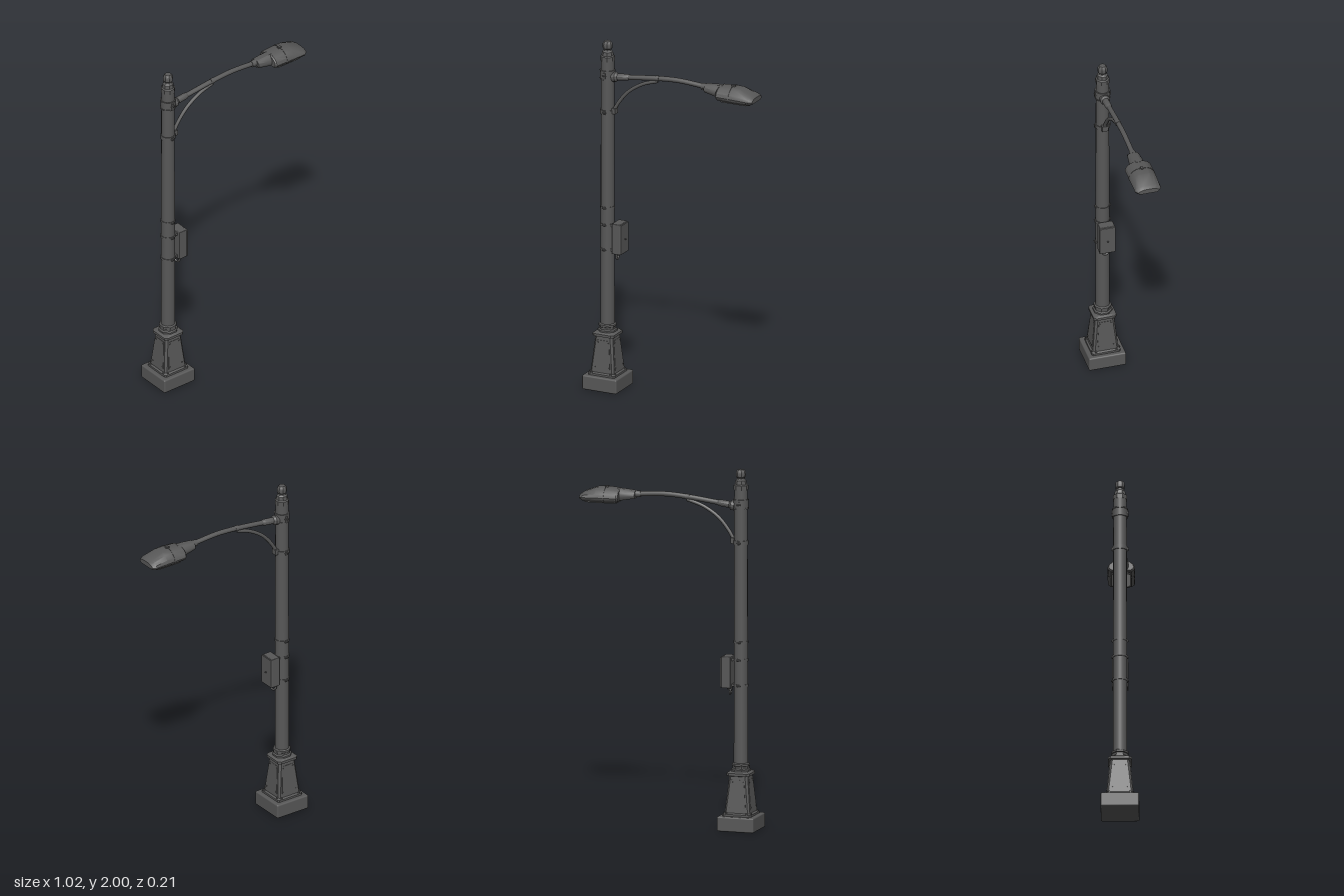
import * as THREE from 'three';
import { toCreasedNormals } from 'three/addons/utils/BufferGeometryUtils.js';
import { RoundedBoxGeometry } from 'three/addons/geometries/RoundedBoxGeometry.js';

const POLE_X = -0.405;
const V = (x, y, z = 0) => new THREE.Vector3(x, y, z);

// Closed solid through rings of points, each counter-clockwise about the direction of travel
function loft(rings, crease = 0.5) {
  const pos = [];
  const tri = (...pts) => pts.forEach(p => pos.push(p.x, p.y, p.z));
  const n = rings[0].length;
  for (let i = 0; i < rings.length - 1; i++) {
    for (let j = 0; j < n; j++) {
      const k = (j + 1) % n;
      tri(rings[i][j], rings[i][k], rings[i + 1][k]);
      tri(rings[i][j], rings[i + 1][k], rings[i + 1][j]);
    }
  }
  const middle = r => r.reduce((s, p) => s.add(p), V(0, 0)).divideScalar(n);
  const first = rings[0], last = rings[rings.length - 1];
  for (let j = 0; j < n; j++) {
    const k = (j + 1) % n;
    tri(middle(first), first[k], first[j]);
    tri(middle(last), last[j], last[k]);
  }
  const g = new THREE.BufferGeometry();
  g.setAttribute('position', new THREE.Float32BufferAttribute(pos, 3));
  return toCreasedNormals(g, crease);
}

// Horizontal square with cut corners
function cutSquare(y, h, cut) {
  const c = h - cut;
  return [[-c, h], [c, h], [h, c], [h, -c], [c, -h], [-c, -h], [-h, -c], [-h, c]]
    .map(([x, z]) => V(x, y, z));
}

// Domed lamp section across x: half width, bottom, rim and top heights
function lampSection(x, w, bottom, rim, top) {
  const t = top - rim;
  const half = [[top, 0.38], [rim + t * 0.8, 0.66], [rim + t * 0.4, 0.92], [rim, 1],
    [rim - (rim - bottom) * 0.45, 0.95], [bottom, 0.75]];
  return [...half.map(([y, z]) => V(x, y, z * w)),
    ...half.slice().reverse().map(([y, z]) => V(x, y, -z * w))];
}

export function createModel() {
  const model = new THREE.Group();
  model.name = 'streetLamp';
  const iron = new THREE.MeshStandardMaterial({ color: 0x585858 });
  iron.name = 'darkIron';
  const glass = new THREE.MeshStandardMaterial({ color: 0xbebebe });
  glass.name = 'lensGrey';

  const add = (name, geo, parent = model, x = 0, y = 0, z = 0, mat = iron) => {
    const m = new THREE.Mesh(geo, mat);
    m.name = name;
    m.position.set(x, y, z);
    parent.add(m);
    return m;
  };
  const group = (name, x = 0) => {
    const g = new THREE.Group();
    g.name = name;
    g.position.x = x;
    model.add(g);
    return g;
  };
  const tube = (pts, r, seg = 24, sides = 10) =>
    new THREE.TubeGeometry(new THREE.CatmullRomCurve3(pts), seg, r, sides);
  const lathe = (profile, sides) =>
    toCreasedNormals(new THREE.LatheGeometry(profile.map(p => new THREE.Vector2(...p)), sides, Math.PI / sides), 0.5);

  // Footing and tapered pedestal
  const base = group('base', POLE_X);
  add('footing', new RoundedBoxGeometry(0.21, 0.082, 0.21, 2, 0.008), base, 0, 0.041);
  add('pedestal', loft([
    cutSquare(0.08, 0.081, 0.008), cutSquare(0.093, 0.081, 0.008), cutSquare(0.1, 0.072, 0.01),
    cutSquare(0.3, 0.053, 0.012), cutSquare(0.304, 0.065, 0.014), cutSquare(0.318, 0.065, 0.014),
    cutSquare(0.326, 0.054, 0.016)]), base);
  add('pedestalCollar', lathe([[0, 0.32], [0.054, 0.32], [0.054, 0.335], [0.046, 0.34],
    [0.046, 0.352], [0.05, 0.355], [0.05, 0.366], [0.039, 0.372], [0, 0.372]], 8), base);

  // Raised panel and corner bolts on every pedestal face
  for (let i = 0; i < 4; i++) {
    const side = new THREE.Group();
    side.name = 'pedestalFace';
    side.rotation.y = i * Math.PI / 2;
    base.add(side);
    const panel = new THREE.Shape([[-0.05, -0.082], [0.05, -0.082], [0.036, 0.082], [-0.036, 0.082]]
      .map(p => new THREE.Vector2(...p)));
    add('panel', new THREE.ExtrudeGeometry(panel, { depth: 0.003, bevelEnabled: false }),
      side, 0, 0.2, 0.0618).rotation.x = -0.095;
    for (const sx of [-1, 1]) {
      for (const [x, y, z] of [[0.042, 0.13, 0.0715], [0.031, 0.27, 0.0585]]) {
        add('panelBolt', new THREE.CylinderGeometry(0.004, 0.004, 0.006, 6), side, sx * x, y, z)
          .rotation.x = Math.PI / 2;
      }
      add('flangeBolt', new THREE.CylinderGeometry(0.006, 0.006, 0.01, 6), side, sx * 0.058, 0.098, 0.076);
    }
  }

  // Pole in two slightly stepped lengths
  const pole = group('pole', POLE_X);
  add('lowerPole', new THREE.CylinderGeometry(0.0385, 0.0395, 0.68, 16), pole, 0, 0.7);
  add('upperPole', new THREE.CylinderGeometry(0.0365, 0.038, 0.87, 16), pole, 0, 1.465);

  // Clamp bands with bolted lugs
  for (const [y, r, h] of [[1.04, 0.0405, 0.014], [0.942, 0.0415, 0.014], [0.8, 0.042, 0.014],
    [1.592, 0.041, 0.024], [1.805, 0.041, 0.04]]) {
    add('band', new THREE.CylinderGeometry(r, r, h, 16), pole, 0, y);
    for (const s of [-1, 1]) {
      add('bandLug', new THREE.BoxGeometry(0.012, h * 0.85, 0.008), pole, 0, y, s * r);
      add('bandBolt', new THREE.CylinderGeometry(0.004, 0.004, 0.02, 6), pole, 0, y, s * (r + 0.002))
        .rotation.z = Math.PI / 2;
    }
  }
  for (const y of [1.783, 1.829]) {
    add('headRing', new THREE.CylinderGeometry(0.043, 0.043, 0.007, 16), pole, 0, y);
  }

  // Stepped cap and finial
  add('finial', lathe([[0, 1.885], [0.04, 1.885], [0.04, 1.91], [0.033, 1.915], [0.03, 1.936],
    [0.023, 1.942], [0.021, 1.95], [0.027, 1.957], [0.028, 1.976], [0.025, 1.988],
    [0.018, 1.996], [0, 2]], 8), pole);

  // Arm, its socket and the curved brace
  const arm = group('arm');
  add('armTube', tube([V(-0.38, 1.793), V(-0.25, 1.809), V(-0.1, 1.827), V(0.03, 1.835), V(0.21, 1.824)], 0.014), arm);
  const socket = add('armSocket', lathe([[0, 0], [0.028, 0], [0.028, 0.02], [0.019, 0.032],
    [0.018, 0.09], [0.014, 0.1], [0, 0.1]], 12), arm, -0.372, 1.794);
  socket.rotation.z = -Math.PI / 2 + 0.12;
  add('brace', tube([V(-0.368, 1.598), V(-0.335, 1.655), V(-0.275, 1.725), V(-0.19, 1.78), V(-0.095, 1.812)], 0.01), arm);
  add('braceFoot', new THREE.BoxGeometry(0.022, 0.032, 0.034), arm, -0.361, 1.6);
  add('braceClip', new THREE.CylinderGeometry(0.0155, 0.0155, 0.022, 12), arm, -0.1, 1.827)
    .rotation.z = Math.PI / 2;

  // Lamp head: ring, neck and domed housing
  const lamp = group('lampHead');
  add('neckRing', new THREE.CylinderGeometry(0.02, 0.018, 0.032, 12), lamp, 0.187, 1.825)
    .rotation.z = -Math.PI / 2;
  add('neckScrew', new THREE.CylinderGeometry(0.005, 0.005, 0.012, 6), lamp, 0.187, 1.818, 0.024)
    .rotation.x = Math.PI / 2;
  add('neck', loft([lampSection(0.198, 0.034, 1.802, 1.82, 1.843),
    lampSection(0.25, 0.04, 1.793, 1.815, 1.848), lampSection(0.3, 0.041, 1.784, 1.81, 1.851)]), lamp);
  add('housing', loft([
    lampSection(0.284, 0.068, 1.787, 1.806, 1.843), lampSection(0.292, 0.075, 1.78, 1.803, 1.849),
    lampSection(0.365, 0.075, 1.777, 1.802, 1.855), lampSection(0.415, 0.075, 1.777, 1.801, 1.853),
    lampSection(0.487, 0.074, 1.779, 1.799, 1.827), lampSection(0.506, 0.06, 1.787, 1.798, 1.814)]), lamp);
  add('seam', loft([lampSection(0.363, 0.0765, 1.776, 1.802, 1.857),
    lampSection(0.367, 0.0765, 1.776, 1.802, 1.857)]), lamp);
  add('latch', new THREE.BoxGeometry(0.02, 0.008, 0.014), lamp, 0.365, 1.858);

  // Shallow rim under the housing with the lens inside it
  const outline = (s, w, l, c) => s.setFromPoints([[-l, -w + c], [-l + c, -w], [l - c, -w], [l, -w + c],
    [l, w - c], [l - c, w], [-l + c, w], [-l, w - c]].map(p => new THREE.Vector2(...p)));
  const rim = outline(new THREE.Shape(), 0.056, 0.092, 0.018);
  rim.holes.push(outline(new THREE.Path(), 0.048, 0.083, 0.012));
  add('lensRim', new THREE.ExtrudeGeometry(rim, { depth: 0.01, bevelEnabled: false }), lamp, 0.39, 1.782)
    .rotation.x = Math.PI / 2;
  add('lens', new THREE.BoxGeometry(0.166, 0.006, 0.096), lamp, 0.39, 1.7775, 0, glass);

  // Control box strapped to the pole
  const box = group('controlBox');
  add('boxBody', new RoundedBoxGeometry(0.052, 0.175, 0.086, 2, 0.004), box, -0.333, 0.872);
  add('boxDoor', new RoundedBoxGeometry(0.009, 0.168, 0.09, 2, 0.003), box, -0.304, 0.872);
  add('boxLock', new THREE.CylinderGeometry(0.004, 0.004, 0.012, 8), box, -0.297, 0.868)
    .rotation.z = Math.PI / 2;
  for (const y of [0.942, 0.8]) {
    add('boxBracket', new THREE.BoxGeometry(0.03, 0.014, 0.05), box, -0.366, y);
  }
  // Cable loop hanging below the box
  add('cableGland', new THREE.CylinderGeometry(0.013, 0.013, 0.018, 8), box, -0.342, 0.778);
  add('cableLoop', tube([V(-0.342, 0.782, 0.018), V(-0.342, 0.76, 0.019), V(-0.343, 0.747, 0),
    V(-0.348, 0.76, -0.019), V(-0.352, 0.782, -0.018)], 0.006, 16, 8), box);

  return model;
}
